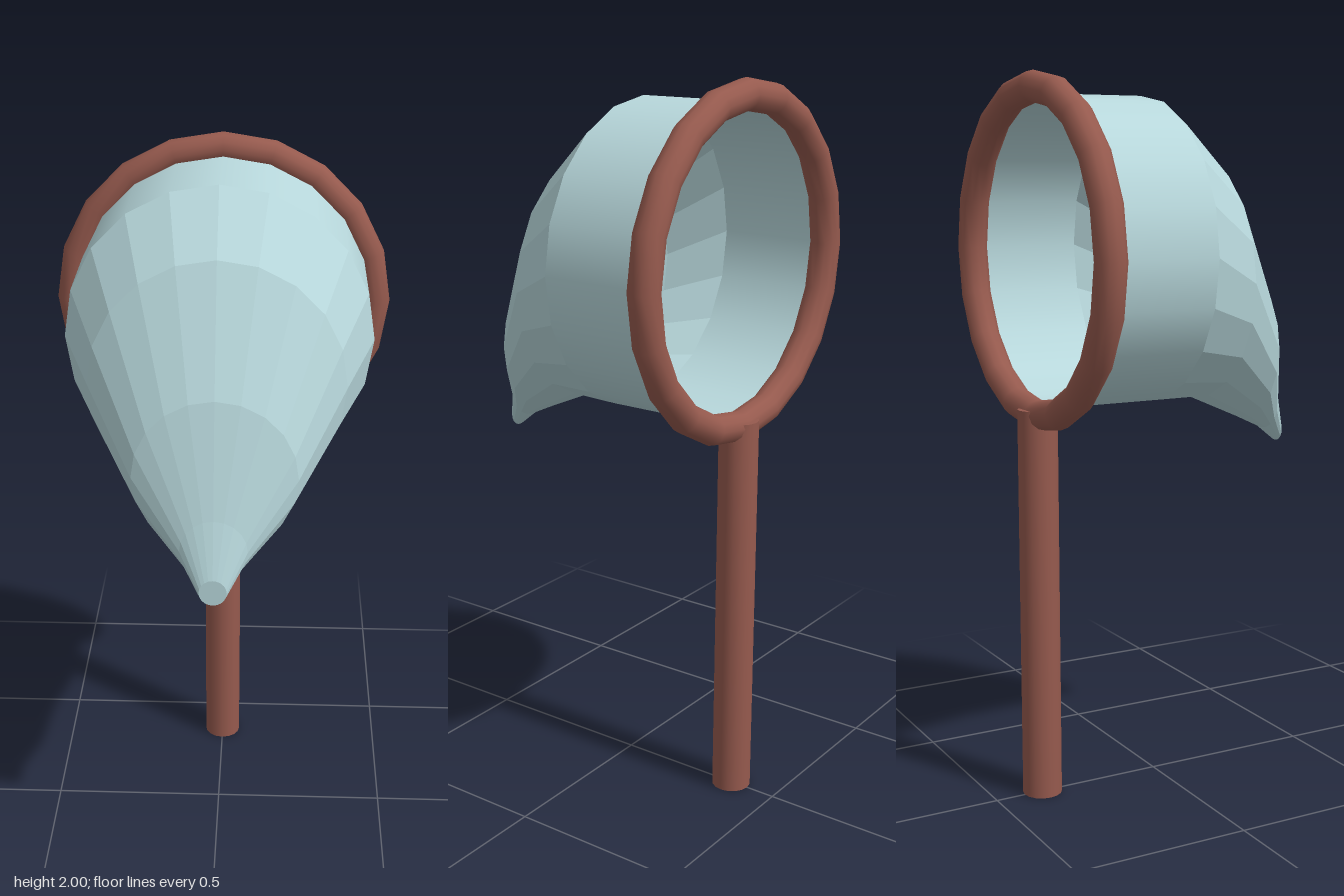
import * as THREE from 'three';

const SIDES = 20;

// Skin circular sections [z, centreY, radius] with flat facets and a closed tip
function loft(sections) {
  const pos = [];
  const point = ([z, y, r], i) => {
    const a = (i / SIDES) * Math.PI * 2;
    return [r * Math.cos(a), y + r * Math.sin(a), z];
  };
  for (let s = 0; s < sections.length - 1; s++) {
    for (let i = 0; i < SIDES; i++) {
      const a = point(sections[s], i), b = point(sections[s], i + 1);
      const c = point(sections[s + 1], i + 1), d = point(sections[s + 1], i);
      pos.push(...a, ...b, ...c, ...a, ...c, ...d);
    }
  }
  const tip = sections[sections.length - 1];
  for (let i = 0; i < SIDES; i++) {
    pos.push(0, tip[1], tip[0], ...point(tip, i), ...point(tip, i + 1));
  }
  const geo = new THREE.BufferGeometry();
  geo.setAttribute('position', new THREE.Float32BufferAttribute(pos, 3));
  geo.computeVertexNormals();
  return geo;
}

export function createModel() {
  const group = new THREE.Group();
  const wood = new THREE.MeshStandardMaterial({ color: 0x965a4e });
  wood.name = 'redBrownWood';
  const cloth = new THREE.MeshStandardMaterial({ color: 0xb8d8dc, side: THREE.DoubleSide });
  cloth.name = 'paleBlueCloth';

  const add = (name, geo, mat, x, y, z) => {
    const mesh = new THREE.Mesh(geo, mat);
    mesh.name = name;
    mesh.position.set(x, y, z);
    group.add(mesh);
    return mesh;
  };

  // Handle and hoop
  add('handle', new THREE.CylinderGeometry(0.055, 0.055, 1.1, 16), wood, 0, 0.55, -0.36);
  add('hoop', new THREE.TorusGeometry(0.438, 0.042, 12, SIDES), wood, 0, 1.52, -0.36);

  // Straight open sleeve behind the drooping bag
  const sleeve = new THREE.CylinderGeometry(0.42, 0.42, 0.32, SIDES, 1, true);
  sleeve.rotateX(Math.PI / 2);
  add('netSleeve', sleeve, cloth, 0, 1.52, -0.2);

  // Bag sagging down to a small closed tip
  add('netBag', loft([
    [-0.04, 1.52, 0.42],
    [0.12, 1.445, 0.345],
    [0.28, 1.25, 0.22],
    [0.365, 1.08, 0.09],
    [0.415, 0.985, 0.037],
  ]), cloth, 0, 0, 0);

  return group;
}
